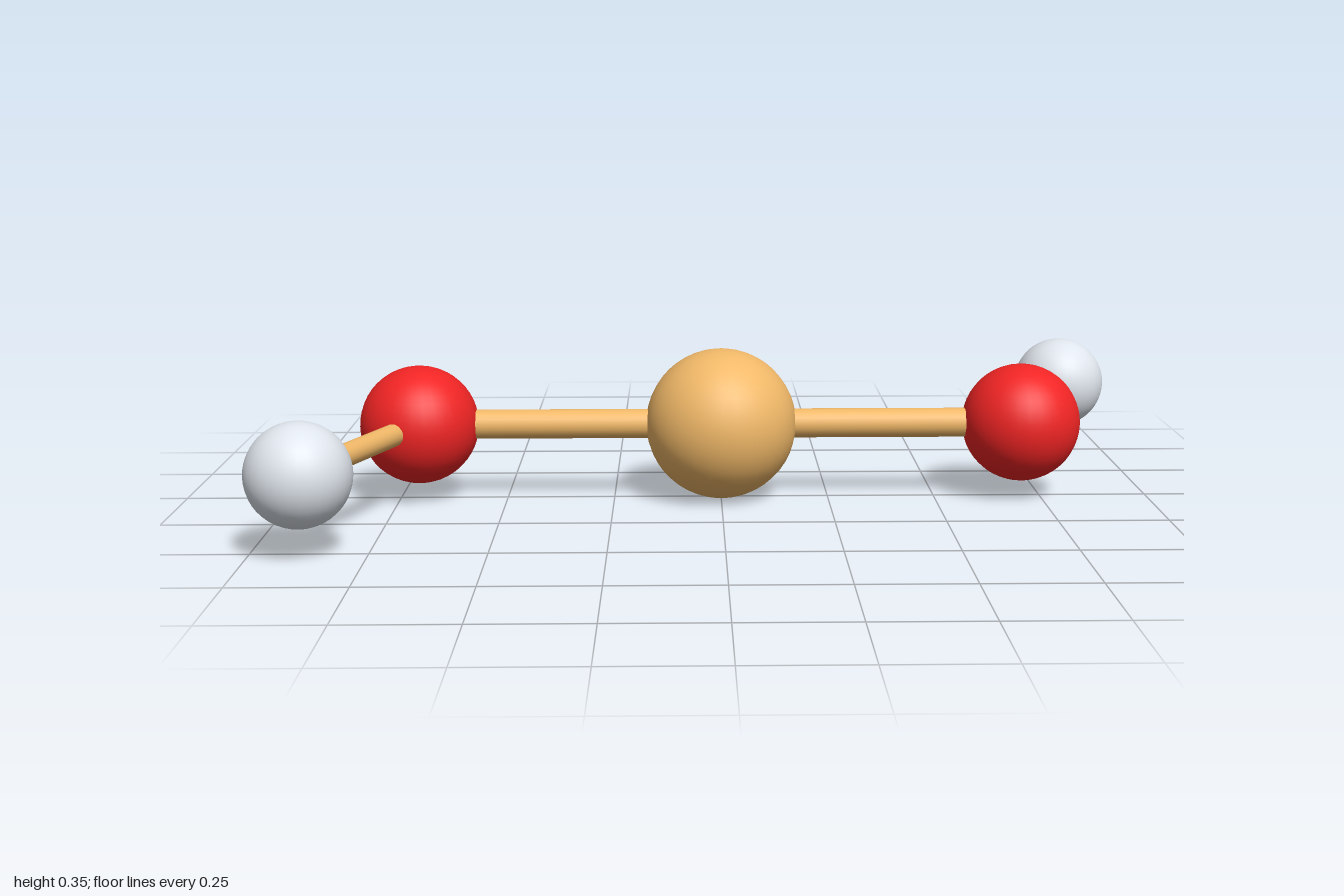
import * as THREE from 'three';

export function createModel() {
  const model = new THREE.Group();
  const paint = (color) => new THREE.MeshStandardMaterial({ color });
  const tan = paint(0xf0b868), red = paint(0xf02424), pale = paint(0xdfe5ec);
  const height = 0.175;

  function ball(name, radius, x, z, material) {
    const mesh = new THREE.Mesh(new THREE.SphereGeometry(radius, 32, 24), material);
    mesh.name = name;
    mesh.position.set(x, height, z);
    model.add(mesh);
    return mesh.position;
  }

  // Rod joining the centres of two balls
  function rod(name, radius, from, to) {
    const span = to.clone().sub(from);
    const mesh = new THREE.Mesh(new THREE.CylinderGeometry(radius, radius, span.length(), 24), tan);
    mesh.name = name;
    mesh.position.copy(from).addScaledVector(span, 0.5);
    mesh.quaternion.setFromUnitVectors(new THREE.Vector3(0, 1, 0), span.normalize());
    model.add(mesh);
  }

  const centre = ball('centralAtom', 0.175, 0, 0, tan);

  // Two arms, one turned half way round from the other
  for (const [side, s] of [['left', 1], ['right', -1]]) {
    const inner = ball(side + 'InnerAtom', 0.137, s * 0.702, 0, red);
    const outer = ball(side + 'OuterAtom', 0.113, s * 0.887, s * -0.52, pale);
    rod(side + 'InnerBond', 0.034, centre, inner);
    rod(side + 'OuterBond', 0.026, inner, outer);
  }
  return model;
}
